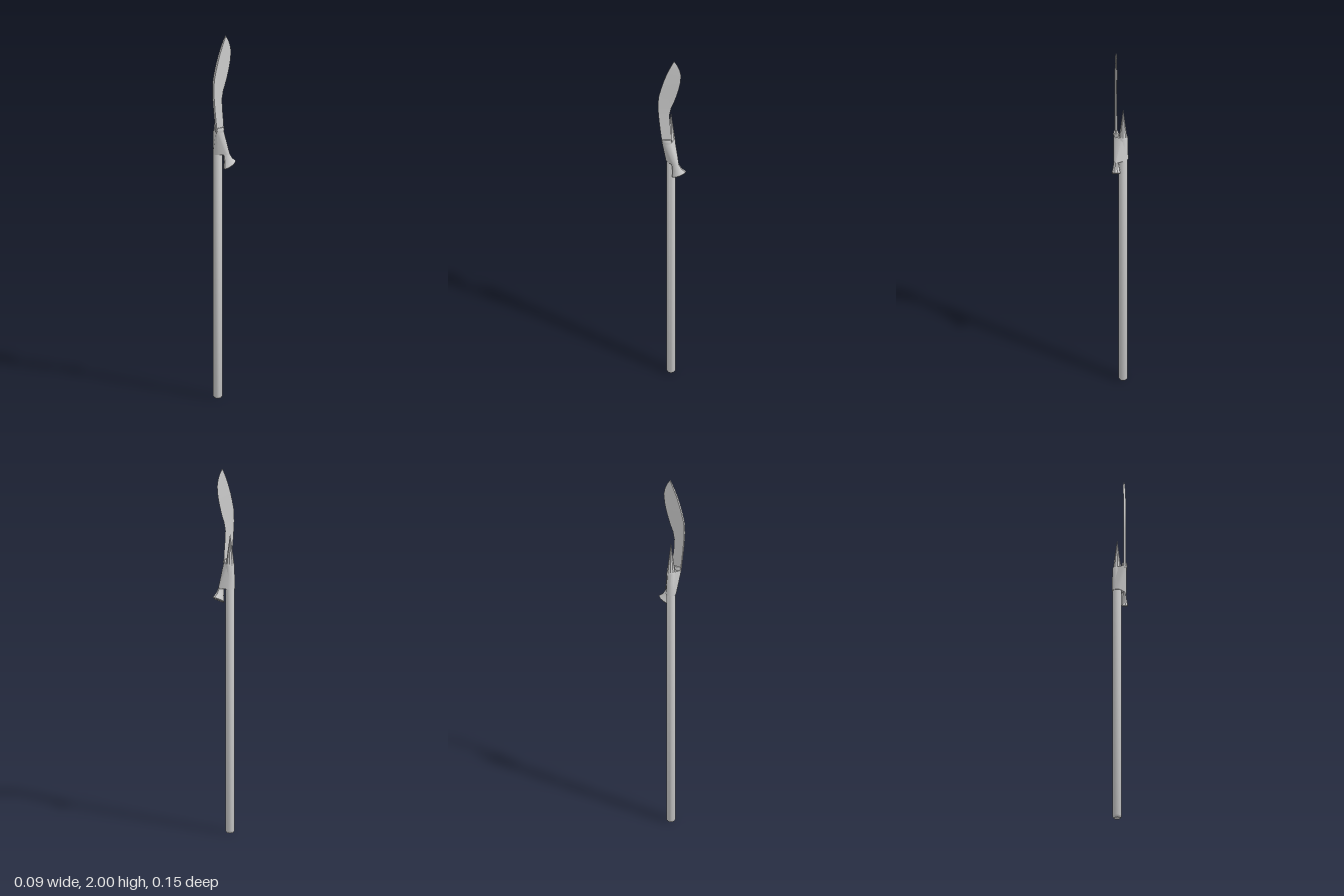
import * as THREE from 'three';
import { toCreasedNormals } from 'three/addons/utils/BufferGeometryUtils.js';
import { ConvexGeometry } from 'three/addons/geometries/ConvexGeometry.js';

const SIDES = 10;
const POLE = { x: -0.019, z: 0.013, r: 0.025 };
const KNIFE_X = 0.019;

// Horizontal ellipse of points; slope tilts it along z
function ellipse(x, y, z, rx, rz, slope = 0) {
  return Array.from({ length: SIDES }, (_, i) => {
    const a = (i / SIDES) * Math.PI * 2;
    const dz = -Math.sin(a) * rz;
    return new THREE.Vector3(x + Math.cos(a) * rx, y + dz * slope, z + dz);
  });
}

// Closed skin over rings listed from bottom to top
function loft(rings) {
  const n = rings[0].length, last = (rings.length - 1) * n, index = [];
  for (let i = 0; i < rings.length - 1; i++) {
    for (let j = 0; j < n; j++) {
      const a = i * n + j, b = i * n + (j + 1) % n;
      index.push(a, b, b + n, a, b + n, a + n);
    }
  }
  for (let j = 1; j < n - 1; j++) {
    index.push(0, j + 1, j, last, last + j, last + j + 1);
  }
  const geometry = new THREE.BufferGeometry().setFromPoints(rings.flat());
  geometry.setIndex(index);
  return geometry;
}

export function createModel() {
  const group = new THREE.Group();
  const material = new THREE.MeshStandardMaterial({ color: 0xcccccc });
  const add = (name, geometry, crease = 0.7) => {
    const mesh = new THREE.Mesh(toCreasedNormals(geometry, crease), material);
    mesh.name = name;
    group.add(mesh);
    return mesh;
  };

  // Pole with a slightly rounded foot
  const pole = add('pole', new THREE.LatheGeometry([
    [0, 0], [0.018, 0.002], [POLE.r, 0.012], [POLE.r, 1.47], [0.023, 1.48], [0, 1.48],
  ].map(([r, y]) => new THREE.Vector2(r, y)), SIDES));
  pole.position.set(POLE.x, 0, POLE.z);

  // Sharpened pole end
  const spike = add('spike', new THREE.ConeGeometry(0.023, 0.17, SIDES), 0.3);
  spike.position.set(POLE.x, 1.563, POLE.z);

  // Binding that hugs the pole and the slanted knife handle
  add('binding', new ConvexGeometry([
    ...ellipse(POLE.x, 1.345, POLE.z, 0.028, 0.028),
    ...ellipse(KNIFE_X, 1.345, -0.016, 0.013, 0.021),
    ...ellipse(POLE.x, 1.48, POLE.z, 0.025, 0.02),
    ...ellipse(KNIFE_X, 1.48, 0.031, 0.013, 0.026),
  ]));

  // Knife handle flaring into a tilted pommel
  add('handle', loft([
    ellipse(KNIFE_X, 1.281, -0.037, 0.021, 0.034, -0.5),
    ellipse(KNIFE_X, 1.286, -0.037, 0.024, 0.039, -0.5),
    ellipse(KNIFE_X, 1.312, -0.027, 0.017, 0.026, -0.35),
    ellipse(KNIFE_X, 1.345, -0.016, 0.012, 0.02, -0.2),
    ellipse(KNIFE_X, 1.48, 0.029, 0.012, 0.022),
  ]));

  // Collar between handle and blade
  add('collar', loft([
    ellipse(KNIFE_X, 1.475, 0.029, 0.013, 0.026),
    ellipse(KNIFE_X, 1.488, 0.03, 0.016, 0.028),
    ellipse(KNIFE_X, 1.5, 0.031, 0.013, 0.024),
  ]));

  // Curved blade: thick spine towards +z, sharp edge towards -z
  const rows = [ // y, spine z, edge z, half thickness
    [1.48, 0.055, 0.001, 0.007], [1.54, 0.062, 0.006, 0.007],
    [1.6, 0.069, 0.012, 0.007], [1.655, 0.074, 0.015, 0.007],
    [1.7, 0.077, 0.006, 0.007], [1.735, 0.076, -0.008, 0.007],
    [1.77, 0.073, -0.02, 0.007], [1.815, 0.062, -0.033, 0.007],
    [1.86, 0.049, -0.043, 0.007], [1.91, 0.032, -0.048, 0.006],
    [1.945, 0.017, -0.041, 0.006], [1.975, 0.003, -0.028, 0.005],
    [2.0, -0.009, -0.011, 0.003],
  ];
  add('blade', loft(rows.map(([y, spine, edge, h]) => [
    new THREE.Vector3(KNIFE_X + h, y, spine),
    new THREE.Vector3(KNIFE_X, y, edge),
    new THREE.Vector3(KNIFE_X - h, y, spine),
  ])));

  return group;
}
